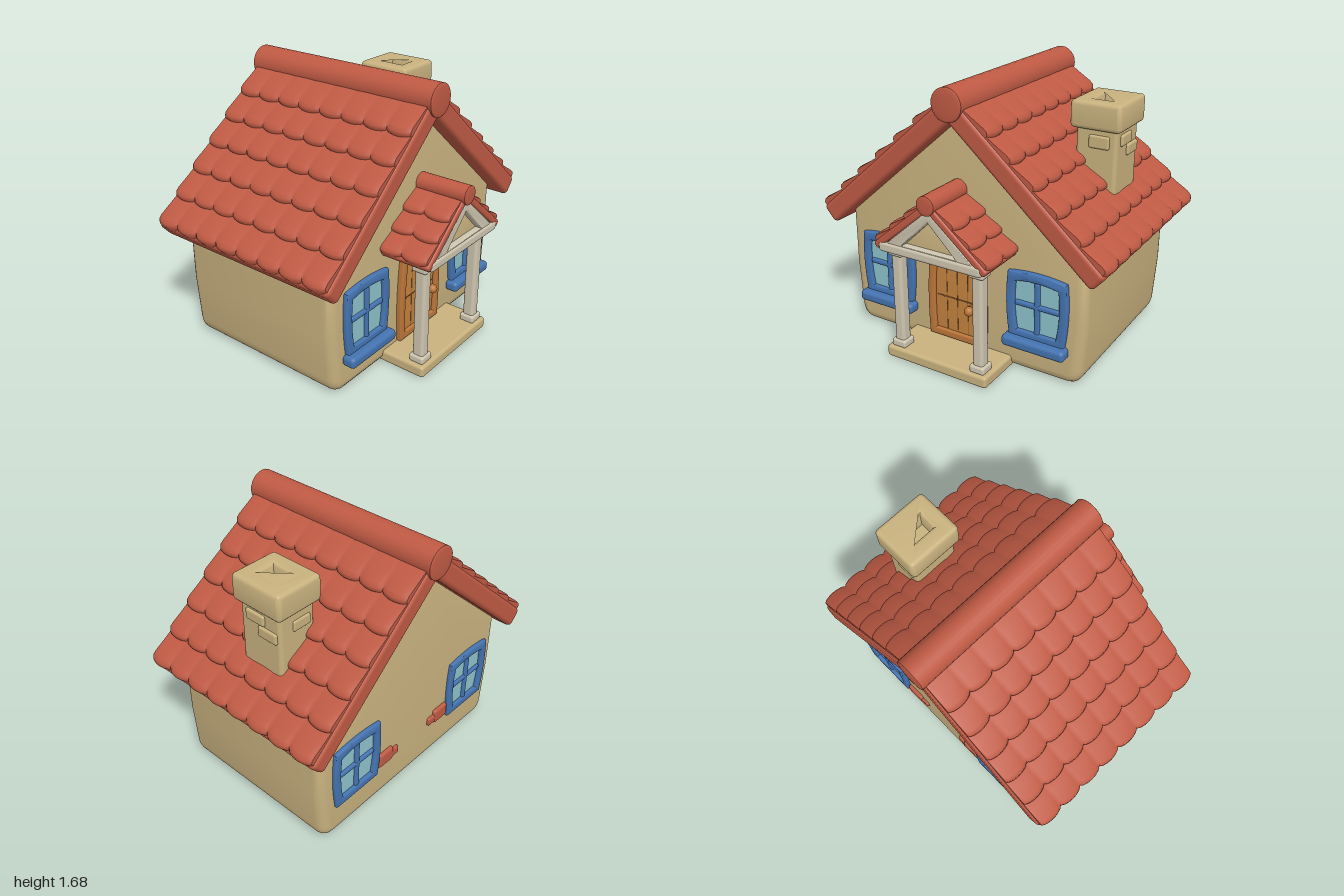
import * as THREE from 'three';
import { toCreasedNormals } from 'three/addons/utils/BufferGeometryUtils.js';
import { RoundedBoxGeometry } from 'three/addons/geometries/RoundedBoxGeometry.js';

const paint = (name, color) => {
  const m = new THREE.MeshStandardMaterial({ color });
  m.name = name;
  return m;
};

export function createModel() {
  const house = new THREE.Group();
  house.name = 'cottage';
  const plaster = paint('plaster', 0xc9b27f);
  const tile = paint('terracotta', 0xbf5a44);
  const stone = paint('pale stone', 0xcfc6b0);
  const blue = paint('blue paint', 0x4473b0);
  const glass = paint('window glass', 0x8ec3cc);
  const wood = paint('door wood', 0xc4833f);
  const frameWood = paint('door frame wood', 0xbb7639);
  const darkWood = paint('dark wood', 0x8a5528);

  const add = (parent, name, geo, mat, x = 0, y = 0, z = 0) => {
    const m = new THREE.Mesh(geo, mat);
    m.name = name;
    m.position.set(x, y, z);
    parent.add(m);
    return m;
  };
  const group = (parent, name, x = 0, y = 0, z = 0) => {
    const g = new THREE.Group();
    g.name = name;
    g.position.set(x, y, z);
    parent.add(g);
    return g;
  };
  const box = (w, h, d, r = 0.015) => new RoundedBoxGeometry(w, h, d, 3, Math.min(r, w / 2.1, h / 2.1, d / 2.1));
  // Extrusion from z = 0 to z = depth with rounded rims kept inside the outline
  const extrude = (shape, depth, bevel) => {
    const g = new THREE.ExtrudeGeometry(shape, {
      depth: depth - 2 * bevel, bevelThickness: bevel, bevelSize: bevel,
      bevelOffset: -bevel, bevelSegments: 4, curveSegments: 10,
    });
    g.translate(0, 0, bevel);
    return toCreasedNormals(g, 0.7);
  };
  // Soft four-sided outline with bulging sides and an arched top
  const outline = (wb, wt, h, bulge, arch, Type = THREE.Shape) => {
    const s = new Type();
    s.moveTo(-wb, -h);
    s.lineTo(wb, -h);
    s.quadraticCurveTo(Math.max(wb, wt) + bulge, 0, wt, h);
    s.quadraticCurveTo(0, h + arch, -wt, h);
    s.quadraticCurveTo(-Math.max(wb, wt) - bulge, 0, -wb, -h);
    return s;
  };

  // Walls: one gabled block with rounded corners
  const wall = new THREE.Shape();
  wall.moveTo(-0.71, 0);
  wall.lineTo(0.71, 0);
  wall.quadraticCurveTo(0.8, 0, 0.81, 0.1);
  wall.lineTo(0.83, 0.4);
  wall.lineTo(0.83, 0.84);
  wall.lineTo(0, 1.57);
  wall.lineTo(-0.83, 0.84);
  wall.lineTo(-0.83, 0.4);
  wall.lineTo(-0.81, 0.1);
  wall.quadraticCurveTo(-0.8, 0, -0.71, 0);
  add(house, 'walls', extrude(wall, 1.14, 0.06), plaster, 0, 0, -0.69);

  // One scalloped row of tiles; x runs down the slope, y out of it
  const tileRow = (len, span, count, lift) => {
    const along = [0, 0.4, 0.8, 0.93, 1];
    const height = [0.12, 0.5, 0.95, 0.9, 0.5];
    const g = new THREE.BoxGeometry(1, 1, 1, 4, 1, count * 10);
    const p = g.attributes.position;
    for (let i = 0; i < p.count; i++) {
      const k = Math.round((p.getX(i) + 0.5) * 4);
      const w = p.getZ(i) + 0.5;
      const b = Math.pow(Math.abs(Math.sin(Math.PI * count * w)), 0.6);
      const top = p.getY(i) > 0;
      p.setXYZ(i, along[k] * (len - 0.025 * (1 - b)) - len,
        top ? lift * height[k] * (0.7 + 0.3 * b) : -0.02, p.getZ(i) * span);
    }
    return toCreasedNormals(g, 0.8);
  };

  // Gabled roof: two slabs, overlapping tile rows and a ridge roll
  const roof = (name, o) => {
    const g = group(house, name, 0, o.apex, (o.z0 + o.z1) / 2);
    const span = o.z1 - o.z0;
    for (const turn of [0, Math.PI]) {
      const side = group(g, turn ? 'rightSlope' : 'leftSlope');
      side.rotation.y = turn;
      const slope = group(side, 'slope');
      slope.rotation.z = -o.angle;
      add(slope, 'roofSlab', box(o.length, o.thick, span, o.round), tile, o.length / 2, -o.thick / 2, 0);
      const row = tileRow(o.rowLength, span - 0.025, o.tiles, o.lift);
      for (let i = 0; i < o.rows; i++) {
        add(slope, 'tileRow', row, tile, o.firstRow + i * (o.length - o.firstRow) / (o.rows - 1), 0, 0);
      }
    }
    const roll = toCreasedNormals(new THREE.CapsuleGeometry(o.ridge, span + 0.02, 6, 24), 0.9);
    // Flatten the capsule caps into softly rounded ends
    const p = roll.attributes.position;
    const half = (span + 0.02) / 2;
    for (let i = 0; i < p.count; i++) {
      const y = p.getY(i);
      if (Math.abs(y) > half) p.setY(i, Math.sign(y) * (half + (Math.abs(y) - half) * 0.1));
    }
    roll.computeVertexNormals();
    add(g, 'ridgeRoll', toCreasedNormals(roll, 0.8), tile, 0, o.ridgeY - o.apex, 0).rotation.x = Math.PI / 2;
  };
  roof('mainRoof', {
    apex: 1.645, angle: 0.72, length: 1.3, thick: 0.13, round: 0.03, z0: -0.78, z1: 0.55,
    rows: 6, firstRow: 0.342, rowLength: 0.225, tiles: 8, lift: 0.042, ridge: 0.1, ridgeY: 1.585,
  });
  roof('porchRoof', {
    apex: 1.09, angle: 0.7, length: 0.51, thick: 0.045, round: 0.015, z0: 0.4, z1: 0.77,
    rows: 3, firstRow: 0.23, rowLength: 0.17, tiles: 2, lift: 0.036, ridge: 0.058, ridgeY: 1.072,
  });

  // Porch: step, columns, beam and open triangular pediment
  const porch = group(house, 'porch');
  add(porch, 'step', box(0.71, 0.075, 0.34, 0.02), plaster, 0, 0.0375, 0.57);
  for (const s of [-1, 1]) {
    const c = group(porch, 'column', s * 0.28, 0, 0.67);
    add(c, 'columnBase', box(0.1, 0.05, 0.1), stone, 0, 0.095, 0);
    add(c, 'columnShaft', box(0.07, 0.62, 0.075, 0.02), stone, 0, 0.41, 0);
    add(c, 'columnCapital', box(0.1, 0.045, 0.1), stone, 0, 0.7, 0);
  }
  add(porch, 'beam', box(0.7, 0.065, 0.33, 0.02), stone, 0, 0.752, 0.61);
  const pediment = new THREE.Shape([[-0.34, 0.74], [0.34, 0.74], [0, 1.045]].map((a) => new THREE.Vector2(...a)));
  pediment.holes.push(new THREE.Path([[-0.18, 0.79], [0, 0.965], [0.18, 0.79]].map((a) => new THREE.Vector2(...a))));
  add(porch, 'pediment', extrude(pediment, 0.3, 0.012), stone, 0, 0, 0.465);
  const infill = new THREE.Shape([[-0.25, 0.77], [0.25, 0.77], [0, 1]].map((a) => new THREE.Vector2(...a)));
  add(porch, 'pedimentInfill', extrude(infill, 0.26, 0.005), plaster, 0, 0, 0.465);

  // Windows: arched frame, glass, cross bars, and a sill at the front
  const frame = outline(0.178, 0.188, 0.208, 0.025, 0.035);
  frame.holes.push(outline(0.128, 0.138, 0.155, 0.02, 0.03, THREE.Path));
  const frameGeo = extrude(frame, 0.05, 0.012);
  const glassGeo = new THREE.ShapeGeometry(outline(0.14, 0.15, 0.17, 0.02, 0.03));
  const addWindow = (x, z, back) => {
    const w = group(house, back ? 'backWindow' : 'frontWindow', x, 0.44, z);
    if (back) w.rotation.y = Math.PI;
    add(w, 'windowFrame', frameGeo, blue, 0, 0, -0.02);
    add(w, 'windowGlass', glassGeo, glass, 0, 0, 0.006);
    add(w, 'uprightBar', box(0.036, 0.34, 0.03), blue, 0, 0, 0.008);
    add(w, 'crossBar', box(0.29, 0.034, 0.03), blue, 0, 0.015, 0.008);
    if (!back) add(w, 'windowSill', box(0.41, 0.07, 0.09, 0.025), blue, 0, -0.225, 0.035);
  };
  for (const s of [-1, 1]) {
    addWindow(s * 0.53, 0.45, false);
    addWindow(s * 0.53, -0.685, true);
    // Exposed bricks beside the back windows
    add(house, 'exposedBrick', box(0.13, 0.1, 0.04, 0.018), tile, s * 0.27, 0.31, -0.692);
    add(house, 'exposedBrickChip', box(0.08, 0.06, 0.035, 0.015), tile, s * 0.19, 0.3, -0.69);
  }

  // Door: arched frame, plank leaf, seams and knob
  const door = group(house, 'door', -0.015, 0.365, 0.45);
  const doorFrame = outline(0.2, 0.185, 0.285, 0.02, 0.035);
  doorFrame.holes.push(outline(0.152, 0.14, 0.27, 0.015, -0.05, THREE.Path));
  const doorArch = outline(0.2, 0.185, 0.285, 0.02, 0.035);
  doorArch.holes.push(outline(0.152, 0.14, 0.235, 0.015, 0.03, THREE.Path));
  add(door, 'doorFrame', extrude(doorArch, 0.05, 0.012), frameWood, 0, 0, -0.015);
  add(door, 'doorLeaf', extrude(outline(0.16, 0.148, 0.25, 0.015, 0.03), 0.03, 0.004), wood, 0, -0.01, -0.015);
  add(door, 'doorThreshold', box(0.31, 0.05, 0.02, 0.005), wood, 0, -0.26, 0.008);
  for (const x of [-0.075, 0.0, 0.075]) add(door, 'plankSeam', box(0.004, 0.47, 0.004), darkWood, x, -0.01, 0.015);
  add(door, 'crossSeam', box(0.29, 0.008, 0.005), darkWood, 0, -0.01, 0.016);
  add(door, 'knobPlate', new THREE.CylinderGeometry(0.026, 0.026, 0.02, 20), frameWood, 0.105, -0.045, 0.022).rotation.x = Math.PI / 2;
  add(door, 'doorKnob', new THREE.SphereGeometry(0.03, 20, 14), frameWood, 0.105, -0.045, 0.05);

  // Chimney: shaft, hollow cap and raised bricks
  const chimney = group(house, 'chimney', 0.62, 0, -0.19);
  add(chimney, 'chimneyShaft', box(0.26, 0.52, 0.3, 0.025), plaster, 0, 1.17, 0);
  const cap = new THREE.Shape();
  cap.moveTo(-0.13, -0.18);
  cap.lineTo(0.13, -0.18);
  cap.quadraticCurveTo(0.16, -0.18, 0.16, -0.15);
  cap.lineTo(0.16, 0.15);
  cap.quadraticCurveTo(0.16, 0.18, 0.13, 0.18);
  cap.lineTo(-0.13, 0.18);
  cap.quadraticCurveTo(-0.16, 0.18, -0.16, 0.15);
  cap.lineTo(-0.16, -0.15);
  cap.quadraticCurveTo(-0.16, -0.18, -0.13, -0.18);
  const flue = new THREE.Path([[-0.055, -0.075], [-0.055, 0.075], [0.055, 0.075], [0.055, -0.075]].map((a) => new THREE.Vector2(...a)));
  cap.holes.push(flue);
  add(chimney, 'chimneyCap', extrude(cap, 0.165, 0.025), plaster, 0, 1.39, 0).rotation.x = -Math.PI / 2;
  for (const [w, h, d, x, y, z] of [
    [0.03, 0.07, 0.14, 0.13, 1.33, 0.03], [0.03, 0.07, 0.14, 0.13, 1.255, -0.06],
    [0.13, 0.08, 0.03, 0.02, 1.32, 0.148], [0.13, 0.07, 0.03, -0.03, 1.3, -0.145],
  ]) add(chimney, 'chimneyBrick', box(w, h, d, 0.014), plaster, x, y, z);

  return house;
}
